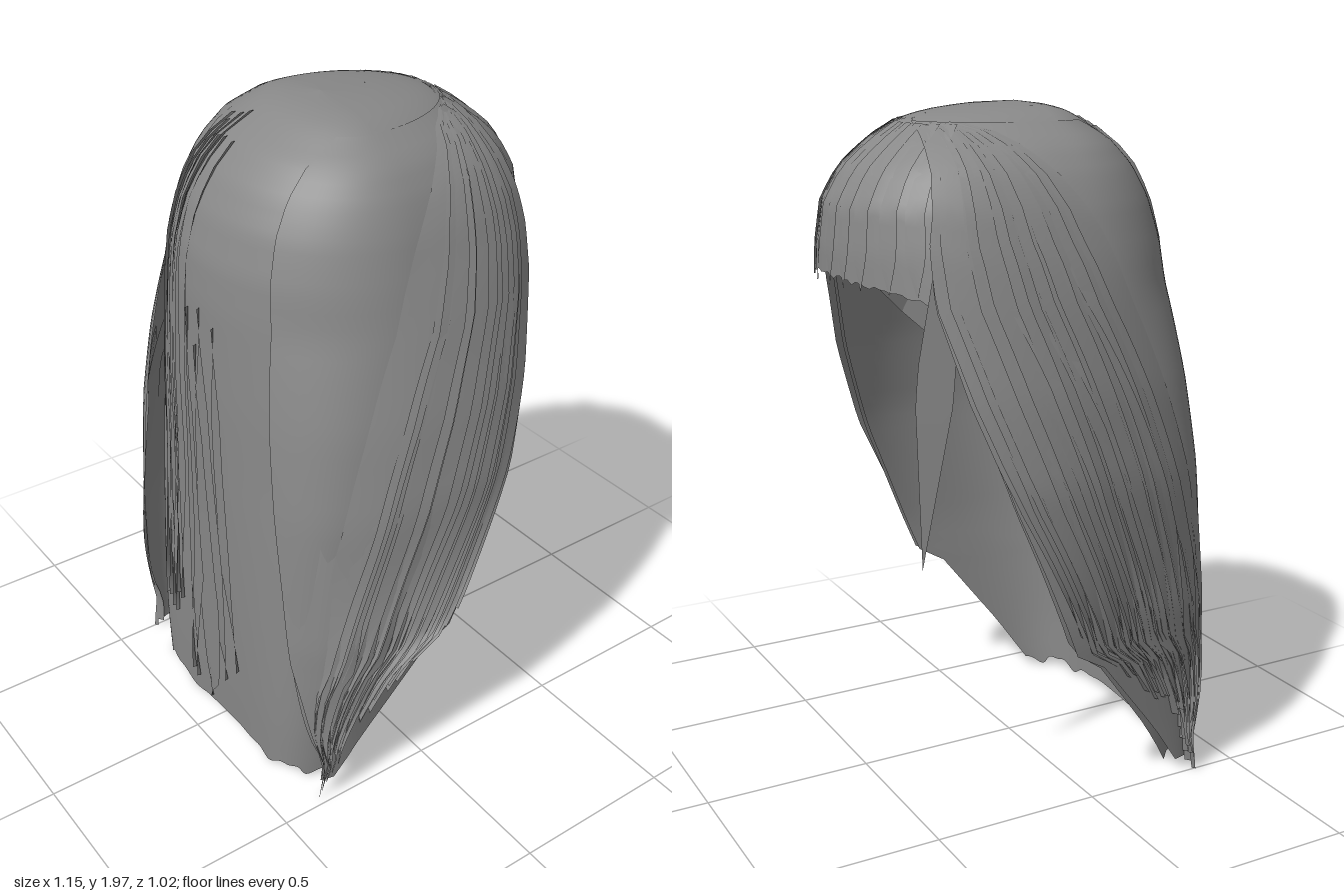
import * as THREE from 'three';

const hairGrey = new THREE.MeshStandardMaterial({ color: 0x888888, side: THREE.DoubleSide });
hairGrey.name = 'hair grey';

let seed = 7;
const rnd = (a = 0, b = 1) => {
  seed = (seed * 16807) % 2147483647;
  return a + (b - a) * seed / 2147483647;
};
const { lerp: mix, clamp } = THREE.MathUtils;

// Hair outline by height: y, half width, reach back (+z), reach forward (-z), squareness at the back
const OUTLINE = [
  [2.0, 0, 0, 0, 2], [1.99, 0.14, 0.08, 0.16, 2], [1.975, 0.2, 0.13, 0.27, 2], [1.955, 0.24, 0.165, 0.345, 2],
  [1.9, 0.325, 0.245, 0.43, 2], [1.83, 0.38, 0.31, 0.51, 2], [1.74, 0.42, 0.36, 0.563, 2],
  [1.62, 0.455, 0.395, 0.578, 2], [1.5, 0.483, 0.408, 0.58, 2], [1.25, 0.52, 0.415, 0.58, 2.15],
  [1.0, 0.537, 0.42, 0.58, 2.3], [0.6, 0.52, 0.427, 0.58, 2.9], [0.2, 0.475, 0.432, 0.58, 3.9],
  [0, 0.46, 0.432, 0.58, 4],
];
// Front edge of the long hair: y, z
const EDGE = [[2, 0], [1.99, -0.16], [1.975, -0.27], [1.955, -0.345], [1.9, -0.37], [1.8, -0.395], [1.65, -0.42],
  [1.5, -0.42], [1.25, -0.36], [0.95, -0.26], [0.78, -0.19], [0.5, -0.08], [0.46, 0], [0.33, 0.1], [0.2, 0.2],
  [0.05, 0.3], [0, 0.32]];

function sample(table, y, k) {
  for (let i = 1; i < table.length; i++) {
    if (y >= table[i][0]) {
      const [a, b] = [table[i - 1], table[i]];
      return mix(b[k], a[k], Math.min(1, (y - b[0]) / (a[0] - b[0])));
    }
  }
  return table[table.length - 1][k];
}

// Squareness of the rear corners: the inner hair, and the outer side curtains
const innerSquare = y => sample(OUTLINE, y, 4);
const curtainSquare = y => mix(6, 2, clamp(y / 1.5, 0, 1));
const edgeZ = y => sample(EDGE, y, 1);

// Point on the hair surface: angle 0 is the back, PI the fringe, positive towards +x
function point(angle, y, out = 0, square = innerSquare, narrow = 1) {
  const c = Math.cos(angle), s = Math.sin(angle);
  const p = c > 0 ? square(y) : 2.1;
  const dip = c > 0 ? 0.025 * clamp(1 - y / 1.2, 0, 1) * c ** 8 : 0;
  const depth = sample(OUTLINE, y, c > 0 ? 2 : 3) + out - dip;
  const w = sample(OUTLINE, y, 1) * narrow + out;
  return [w * Math.sign(s) * Math.abs(s) ** (2 / p) - 0.012, y, depth * Math.sign(c) * Math.abs(c) ** (2 / p)];
}

// Angle at which the surface passes through a given z
function angleAtZ(z, y, square = innerSquare) {
  const p = z > 0 ? square(y) : 2.1;
  const reach = Math.max(0.001, sample(OUTLINE, y, z > 0 ? 2 : 3));
  return Math.acos(Math.sign(z) * Math.min(1, Math.abs(z) / reach) ** (p / 2));
}

// Angle on a side curtain: f runs from its rear edge (0) to its front edge (1)
function curtainAngle(f, y) {
  const inner = y > 1.4 ? mix(0.28, 0.2, (y - 1.4) / 0.555) : mix(0.46, 0.28, Math.max(0, y - 0.1) / 1.3);
  const p = curtainSquare(y);
  const part = Math.min(0.96, inner / sample(OUTLINE, y, 1));
  const rearZ = sample(OUTLINE, y, 2) * (1 - part ** p) ** (1 / p);
  return angleAtZ(mix(rearZ, edgeZ(y) + 0.004, clamp(f, 0, 1)), y, curtainSquare);
}

// Grid surface from a rule f(u, v)
function sheet(name, nu, nv, f) {
  const pos = [], index = [];
  for (let j = 0; j <= nv; j++) for (let i = 0; i <= nu; i++) pos.push(...f(i / nu, j / nv));
  for (let j = 0; j < nv; j++) {
    for (let i = 0; i < nu; i++) {
      const a = j * (nu + 1) + i, b = a + nu + 1;
      index.push(a, b, a + 1, a + 1, b, b + 1);
    }
  }
  const g = new THREE.BufferGeometry();
  g.setAttribute('position', new THREE.Float32BufferAttribute(pos, 3));
  g.setIndex(index);
  g.computeVertexNormals();
  const mesh = new THREE.Mesh(g, hairGrey);
  mesh.name = name;
  return mesh;
}

// Tapered lock lying on the hair like a shingle, one edge raised; angleAt(v, y, across)
function lock(name, angleAt, yTop, yEnd, width, lift, square, flare = 0) {
  return sheet(name, 2, 32, (u, v) => {
    const y = mix(yTop, yEnd, v ** 1.3);
    const taper = Math.min(1, v * 4 + 0.08) * Math.min(1, (1 - v) * 3);
    const out = mix(0.004, 0.02, Math.min(1, v * 1.6)) + lift * u * Math.min(1, v * 3 + 0.1) + flare * v ** 3;
    return point(angleAt(v, y, (u - 0.5) * width * taper), y, out, square);
  });
}

export function createModel() {
  const wig = new THREE.Group();
  wig.name = 'longHair';

  // Crown and long hair, open at the face, with a wavy hem
  wig.add(sheet('longBackHair', 72, 60, (u, v) => {
    const k = u * 2 - 1;
    const hem = 0.052 + 0.012 * Math.sin(k * 13) + 0.006 * Math.sin(k * 27 + 1);
    const y = 2 - (2 - hem) * v ** 1.8;
    return point(k * angleAtZ(edgeZ(y), y), y, 0, innerSquare, mix(0.96, 1, Math.min(1, y / 1.2)));
  }));

  // Fringe over the forehead with an uneven lower edge
  const tips = Array.from({ length: 49 }, () => rnd(-0.008, 0.008));
  wig.add(sheet('fringe', 48, 24, (u, v) => {
    const k = u * 2 - 1;
    const low = mix(1.545, 1.49, k * k) + tips[Math.round(u * 48)];
    const y = 1.965 - (1.965 - low) * v ** 1.4;
    const half = Math.PI - angleAtZ(edgeZ(y), y) + 0.06;
    return point(Math.PI - k * half, y, 0.001 + 0.003 * v);
  }));

  // Thin strands on the fringe, spreading from the crown
  for (let i = 0; i < 9; i++) {
    const a = Math.PI + mix(-0.7, 0.7, i / 8) + rnd(-0.04, 0.04);
    wig.add(sheet('fringeStrand', 2, 12, (u, v) => {
      const across = (u - 0.5) * 0.12 * Math.min(1, (1 - v) * 4 + 0.1);
      return point(a + across, mix(1.95, 1.52, v), 0.004 + 0.005 * u);
    }));
  }

  for (const side of [1, -1]) {
    const name = side > 0 ? 'left' : 'right';

    // Side curtain from the crown, its rear edge sweeping outwards to a point
    wig.add(sheet(name + 'SideCurtain', 28, 44, (u, v) => {
      const y = mix(1.955, 0.07, v ** 1.3);
      const out = mix(0.002, 0.018, Math.min(1, v * 1.6));
      return point(side * curtainAngle(u ** 1.5, y), y, out, curtainSquare);
    }));

    // Strands fanning from the crown down and back, with ragged ends
    const count = 30;
    for (let i = 0; i < count; i++) {
      const t = i / (count - 1);
      const end = mix(0.05, 0.95, t) + rnd(-0.015, 0.015);
      const start = mix(0.8, 1, t);
      const yEnd = 0.04 + 0.4 * t ** 1.5 + rnd(0, 0.14);
      const yTop = 1.956 - (i % 3 === 0 ? rnd(0.05, 0.35) : rnd(0, 0.01));
      wig.add(lock(name + 'Strand',
        (v, y, across) => side * curtainAngle(mix(start, end, v ** 0.5) + across, y),
        yTop, yEnd, rnd(0.07, 0.13), rnd(0.012, 0.022), curtainSquare));
    }

    // Pointed tips at the rear corners
    for (let i = 0; i < 5; i++) {
      const f = 0.02 + i * 0.1;
      wig.add(lock(name + 'RearTip', (v, y, across) => side * curtainAngle(f + 0.08 + across, y),
        1.2, 0.03 + i * 0.03, 0.2, 0.01, curtainSquare, 0.018));
    }
  }

  // Fine strands down the back, mostly on the right half
  for (let i = 0; i < 11; i++) {
    const a = mix(-0.5, 0.12, i / 10) + rnd(-0.03, 0.03);
    const yTop = i < 7 ? rnd(1.88, 1.96) : rnd(1.3, 1.6);
    const yEnd = rnd(0.06, 0.4), width = rnd(0.07, 0.13);
    wig.add(sheet('backStrand', 2, 30, (u, v) => {
      const across = (u - 0.5) * width * Math.min(1, v * 4 + 0.08) * Math.min(1, (1 - v) * 3);
      return point(a * mix(1.2, 0.75, Math.min(1, v * 1.5)) + across, mix(yTop, yEnd, v), 0.004 + 0.012 * u);
    }));
  }

  // Loose lock in front of the right ear
  wig.add(sheet('looseFrontLock', 4, 20, (u, v) => {
    const y = mix(1.6, 0.76, v);
    const half = 0.045 * Math.min(1, 0.5 + v * 1.6) * Math.min(1, (1 - v) * 1.8);
    const mid = mix(-0.405, -0.458, v);
    return [-0.37 + 0.04 * v - (u - 0.5) * half, y, mid + (u - 0.5) * 2 * half];
  }));

  // Faceted scalp cap inside, open towards the face
  const capShape = new THREE.SphereGeometry(1, 18, 9, 0, Math.PI * 2, 0, 1.95)
    .rotateX(0.7).scale(0.425, 0.45, 0.405).translate(-0.012, 1.465, -0.08).toNonIndexed();
  capShape.computeVertexNormals();
  const cap = new THREE.Mesh(capShape, hairGrey);
  cap.name = 'scalpCap';
  wig.add(cap);

  return wig;
}
